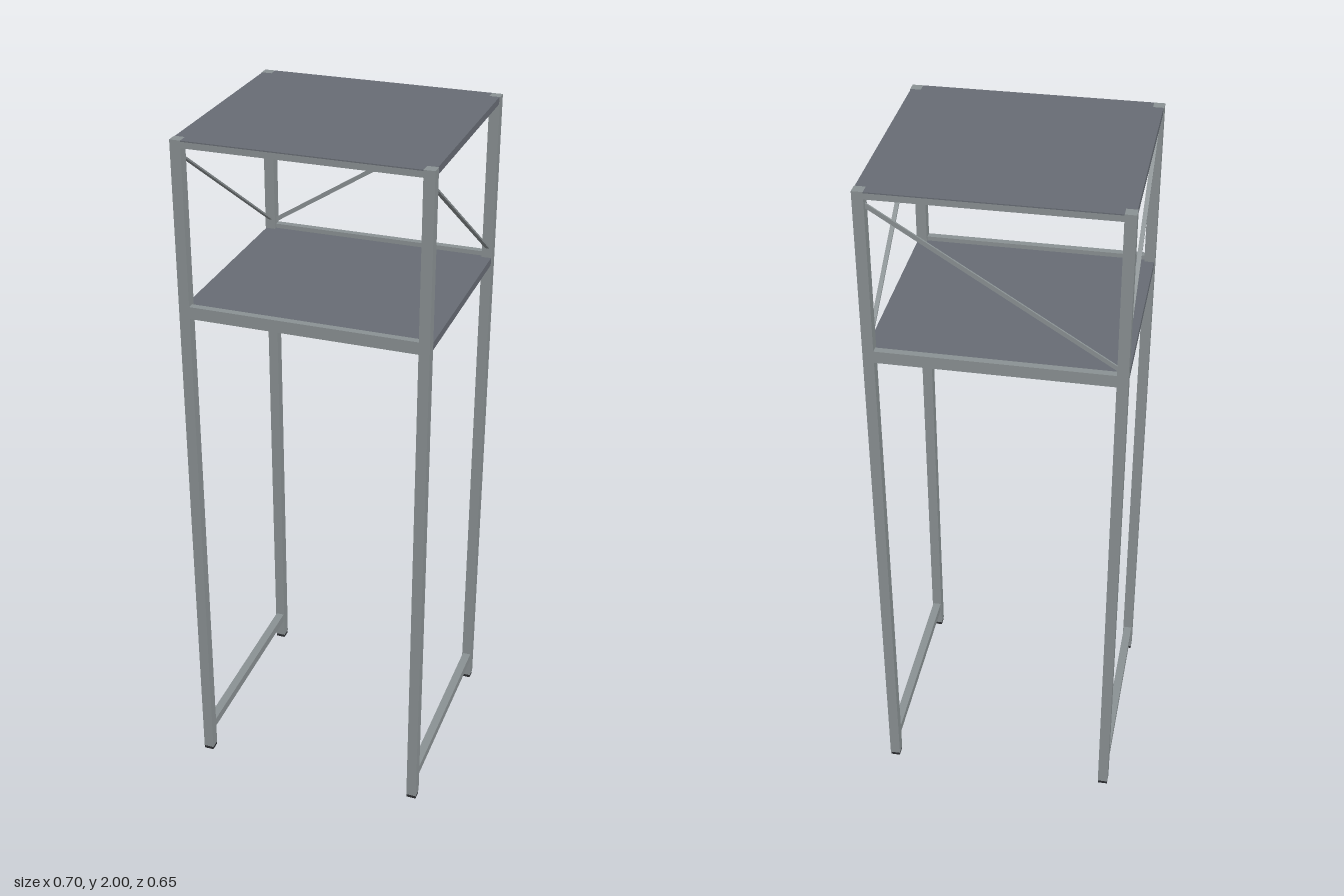
import * as THREE from 'three';

const W = 0.35, D = 0.325, T = 0.03; // half width, half depth, post size

export function createModel() {
  const model = new THREE.Group();
  model.name = 'shelfTower';
  const steel = new THREE.MeshStandardMaterial({ name: 'lightSteel', color: 0x8a9193 });
  const slate = new THREE.MeshStandardMaterial({ name: 'slatePanel', color: 0x676c74 });
  const rubber = new THREE.MeshStandardMaterial({ name: 'darkRubber', color: 0x2b2d30 });

  const add = (name, geometry, material, x = 0, y = 0, z = 0) => {
    const mesh = new THREE.Mesh(geometry, material);
    mesh.name = name;
    mesh.position.set(x, y, z);
    model.add(mesh);
    return mesh;
  };
  // box given by its centre in x and z and its bottom and top in y
  const bar = (name, material, w, d, y0, y1, x = 0, z = 0) =>
    add(name, new THREE.BoxGeometry(w, y1 - y0, d), material, x, (y0 + y1) / 2, z);

  // horizontal panel, notched at the corners to clear the posts
  const panel = (name, y0, y1, halfDepth) => {
    const w = W - 0.002, a = W - T, b = D - T, d = halfDepth;
    const shape = new THREE.Shape([
      [-a, -d], [a, -d], [a, -b], [w, -b], [w, b], [a, b],
      [a, d], [-a, d], [-a, b], [-w, b], [-w, -b], [-a, -b],
    ].map(([x, z]) => new THREE.Vector2(x, z)));
    const geometry = new THREE.ExtrudeGeometry(shape, { depth: y1 - y0, bevelEnabled: false });
    geometry.rotateX(-Math.PI / 2);
    add(name, geometry, slate, 0, y0, 0);
  };

  // posts with feet
  for (const sx of [-1, 1]) {
    for (const sz of [-1, 1]) {
      const x = sx * (W - T / 2), z = sz * (D - T / 2);
      bar('post', steel, T, T, 0.01, 2, x, z);
      bar('foot', rubber, T - 0.002, T - 0.002, 0, 0.01, x, z);
    }
    // low side rails
    bar('lowerSideRail', steel, 0.025, 2 * (D - T), 0.07, 0.097, sx * (W - T / 2), 0);
  }

  // front and back rails under the top and around the shelf
  for (const sz of [-1, 1]) {
    bar('topRail', steel, 2 * (W - T), 0.02, 1.98, 1.997, 0, sz * (D - 0.01));
    bar('shelfRail', steel, 2 * (W - T), 0.02, 1.505, 1.54, 0, sz * (D - 0.01));
  }

  // panels
  panel('topPanel', 1.98, 1.997, D - 0.02);
  panel('topSkin', 1.997, 2, D);
  panel('shelfPanel', 1.505, 1.527, D - 0.02);

  // diagonal braces: one across the back, one on each side
  const brace = (name, from, to, w, h) => {
    const a = new THREE.Vector3(...from), b = new THREE.Vector3(...to);
    const mesh = add(name, new THREE.BoxGeometry(w, h, a.distanceTo(b)), steel);
    mesh.position.lerpVectors(a, b, 0.5);
    mesh.lookAt(b);
  };
  const bx = W - T / 2, bz = D - T / 2;
  brace('backBrace', [-0.325, 1.55, -bz], [0.325, 1.96, -bz], 0.005, 0.012);
  for (const sx of [-1, 1]) {
    brace('sideBrace', [sx * bx, 1.555, -0.3], [sx * bx, 1.955, 0.3], 0.012, 0.005);
  }
  return model;
}
